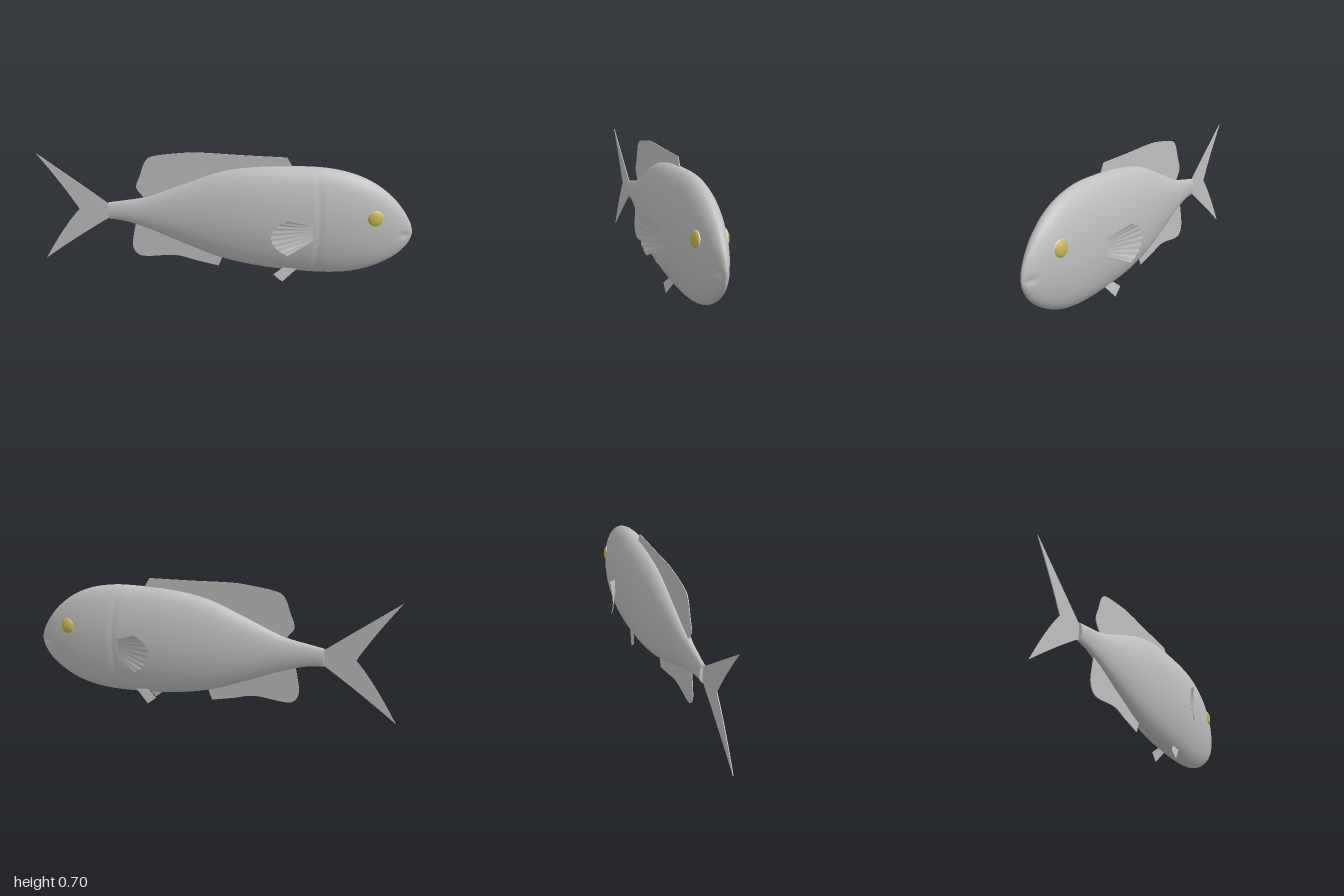
import * as THREE from 'three';
import { mergeVertices } from 'three/addons/utils/BufferGeometryUtils.js';

const skin = new THREE.MeshStandardMaterial({ name: 'greySkin', color: 0xbfbfbf, side: THREE.DoubleSide });
const iris = new THREE.MeshStandardMaterial({ name: 'yellowIris', color: 0xc6b650 });
const eyeWhite = new THREE.MeshStandardMaterial({ name: 'eyeWhite', color: 0xe4e4e4 });

// Surface through rows of points with equal counts
function loft(rows) {
  const n = rows[0].length, pos = [], idx = [];
  rows.forEach((row) => row.forEach((p) => pos.push(p.x, p.y, p.z)));
  for (let i = 0; i < rows.length - 1; i++) {
    for (let j = 0; j < n - 1; j++) {
      const a = i * n + j, b = a + n;
      idx.push(a, a + 1, b, a + 1, b + 1, b);
    }
  }
  let g = new THREE.BufferGeometry();
  g.setAttribute('position', new THREE.Float32BufferAttribute(pos, 3));
  g.setIndex(idx);
  g = mergeVertices(g, 1e-5);
  g.computeVertexNormals();
  return g;
}

function add(parent, name, geometry, material) {
  const mesh = new THREE.Mesh(geometry, material);
  mesh.name = name;
  parent.add(mesh);
  return mesh;
}

const curve = (pts) => new THREE.CatmullRomCurve3(pts.map((p) => new THREE.Vector3(...p)), false, 'catmullrom', 0.5);
const bump = (d, size) => Math.exp(-((d / size) ** 2));

// Body stations: x, top, bottom, half width
const STATIONS = [
  [-0.62, 0.393, 0.296, 0.019], [-0.53, 0.41, 0.287, 0.024], [-0.4, 0.44, 0.25, 0.037],
  [-0.2, 0.525, 0.172, 0.066], [0, 0.605, 0.102, 0.092], [0.2, 0.641, 0.066, 0.108],
  [0.4, 0.65, 0.052, 0.111], [0.55, 0.647, 0.05, 0.106], [0.68, 0.622, 0.063, 0.095],
  [0.79, 0.575, 0.096, 0.079], [0.88, 0.508, 0.144, 0.058], [0.94, 0.44, 0.192, 0.038],
  [0.98, 0.376, 0.245, 0.019], [0.995, 0.335, 0.283, 0.008], [1, 0.312, 0.308, 0.001],
];

function bodyGeometry() {
  const heights = curve(STATIONS.map(([x, t, b]) => [x, t, b]));
  const widths = curve(STATIONS.map(([x, , , w]) => [x, w, 0]));
  const rows = [], steps = 168, sides = 56;
  for (let i = 0; i <= steps; i++) {
    const h = heights.getPoint(i / steps), w = widths.getPoint(i / steps).y;
    const row = [];
    for (let j = 0; j <= sides; j++) {
      const a = ((j % sides) / sides) * Math.PI * 2;
      const y = (h.y + h.z) / 2 + ((h.y - h.z) / 2) * Math.cos(a);
      // shallow gill groove and mouth crease
      const gill = 0.035 * bump(h.x - 0.52 + 0.03 * Math.cos(a) ** 2, 0.014);
      const mouth = 0.3 * bump(y - 0.305, 0.014) * bump(h.x - 0.965, 0.03);
      row.push(new THREE.Vector3(h.x, y, w * Math.sin(a) * (1 - gill - mouth)));
    }
    rows.push(row);
  }
  return loft(rows);
}

// Thin upright fin on the middle plane: smooth rim, straight base
function finGeometry(rim, base) {
  const shape = new THREE.Shape();
  shape.moveTo(...rim[0]);
  shape.splineThru(rim.slice(1).map((p) => new THREE.Vector2(...p)));
  base.forEach((p) => shape.lineTo(...p));
  shape.closePath();
  const g = new THREE.ExtrudeGeometry(shape, { depth: 0.004, bevelEnabled: false, curveSegments: 36 });
  return g.translate(0, 0, -0.002);
}

// Side fin fanning from a root edge to a rim, with faint rays
function fanGeometry(root, rim, ripple) {
  const a = curve(root), b = curve(rim), rows = [], n = 32;
  for (let i = 0; i <= 8; i++) {
    const row = [];
    for (let j = 0; j <= n; j++) {
      const p = a.getPoint(j / n).lerp(b.getPoint(j / n), i / 8);
      p.z += ripple * (i / 8) * Math.sin((j / n) * Math.PI * 16);
      row.push(p);
    }
    rows.push(row);
  }
  return loft(rows);
}

export function createModel() {
  const fish = new THREE.Group();
  fish.name = 'fish';

  add(fish, 'body', bodyGeometry(), skin);
  const stump = add(fish, 'tailStump', new THREE.CircleGeometry(1, 32), skin);
  stump.scale.set(0.019, 0.0485, 1);
  stump.rotation.y = -Math.PI / 2;
  stump.position.set(-0.62, 0.3445, 0);

  // Forked tail
  const tail = new THREE.Shape();
  tail.moveTo(-0.6, 0.375);
  tail.lineTo(-0.625, 0.388);
  tail.quadraticCurveTo(-0.8, 0.515, -1, 0.657);
  tail.quadraticCurveTo(-0.87, 0.49, -0.785, 0.345);
  tail.quadraticCurveTo(-0.88, 0.24, -1, 0.03);
  tail.quadraticCurveTo(-0.8, 0.185, -0.625, 0.3);
  tail.lineTo(-0.6, 0.31);
  const tailGeo = new THREE.ExtrudeGeometry(tail, { depth: 0.004, bevelEnabled: false, curveSegments: 16 });
  add(fish, 'tailFin', tailGeo.translate(0, 0, -0.002), skin);

  // Fins along the back and belly
  add(fish, 'dorsalFin', finGeometry(
    [[-0.43, 0.44], [-0.463, 0.49], [-0.44, 0.56], [-0.41, 0.638], [-0.36, 0.672], [-0.2, 0.697], [-0.1, 0.702], [0.1, 0.698], [0.335, 0.696]],
    [[0.365, 0.645], [0.2, 0.6], [0, 0.56], [-0.2, 0.48], [-0.4, 0.4]]), skin);
  add(fish, 'analFin', finGeometry(
    [[-0.475, 0.275], [-0.488, 0.215], [-0.497, 0.14], [-0.475, 0.093], [-0.42, 0.079], [-0.26, 0.095], [-0.14, 0.07], [-0.02, 0.045]],
    [[0.005, 0.11], [-0.2, 0.22], [-0.4, 0.31]]), skin);

  // Paired fins and eyes
  for (const side of [1, -1]) {
    const half = new THREE.Group();
    half.name = side > 0 ? 'rightHalf' : 'leftHalf';
    half.scale.z = side;
    fish.add(half);

    add(half, 'pectoralFin', fanGeometry(
      [[0.505, 0.365, 0.1], [0.508, 0.328, 0.1], [0.505, 0.29, 0.1]],
      [[0.36, 0.42, 0.171], [0.3, 0.385, 0.179], [0.273, 0.325, 0.183], [0.3, 0.262, 0.179], [0.36, 0.217, 0.171]], 0.002), skin);
    add(half, 'pelvicFin', fanGeometry(
      [[0.41, 0.078, 0.044], [0.375, 0.08, 0.045], [0.34, 0.085, 0.045]],
      [[0.335, 0.002, 0.061], [0.31, 0.021, 0.06], [0.285, 0.042, 0.059]], 0.0006), skin);

    const eye = new THREE.Group();
    eye.name = 'eye';
    eye.position.set(0.8, 0.41, 0.068);
    eye.rotation.set(-0.1, 0.16, 0);
    half.add(eye);
    // Outer cap of the eyeball is the iris, the rest is white
    const ball = add(eye, 'eyeball', new THREE.SphereGeometry(1, 32, 16, 0, Math.PI * 2, 1.25, Math.PI - 1.25), eyeWhite);
    const cap = add(eye, 'iris', new THREE.SphereGeometry(1, 32, 12, 0, Math.PI * 2, 0, 1.25), iris);
    for (const m of [ball, cap]) {
      m.rotation.x = Math.PI / 2;
      m.scale.set(0.042, 0.018, 0.042);
    }
  }
  return fish;
}
